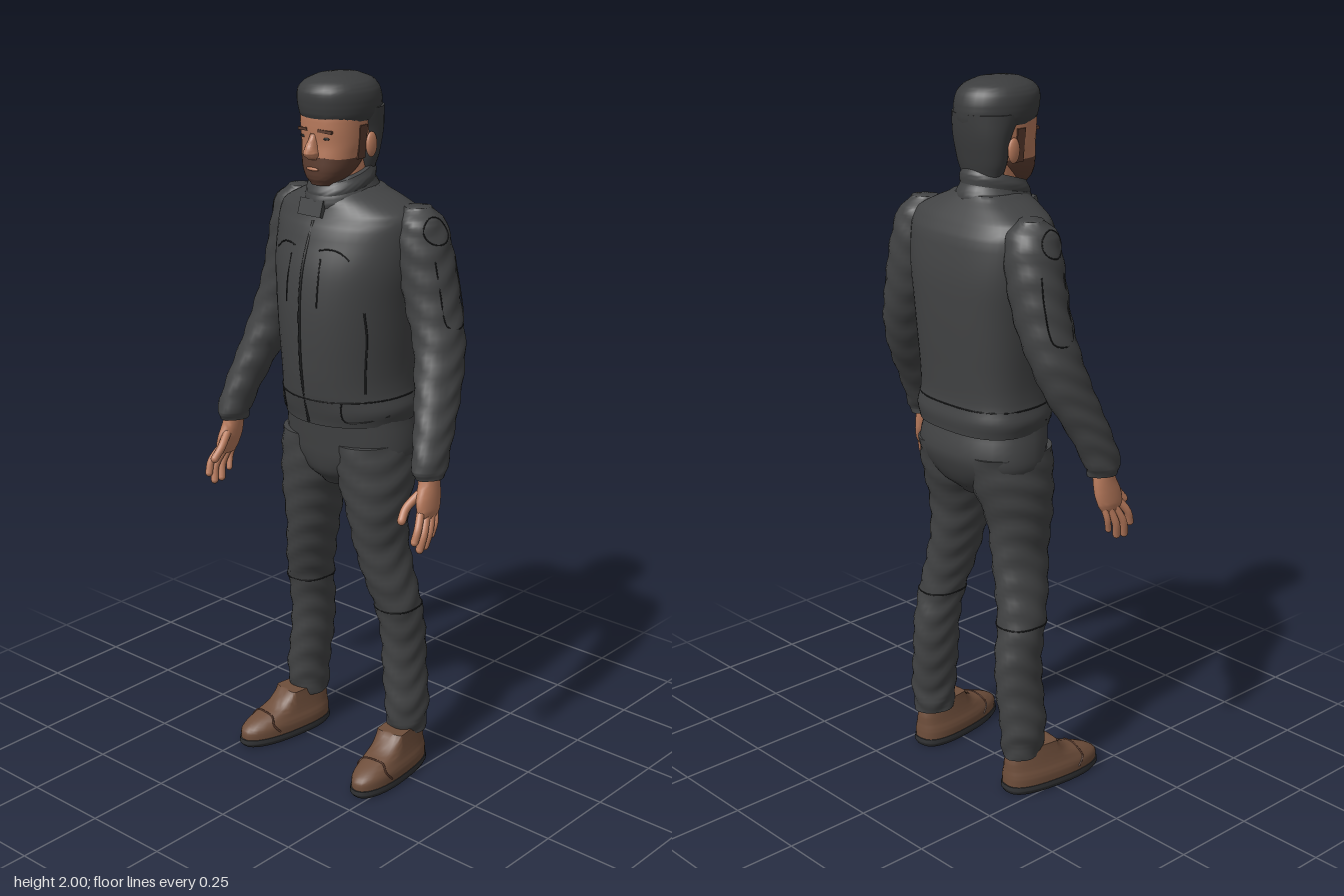
import * as THREE from 'three';
import { toCreasedNormals } from 'three/addons/utils/BufferGeometryUtils.js';

const material = (name, color) => Object.assign(new THREE.MeshStandardMaterial({ color }), { name });

// Cross-sections from bottom to top: [y, centre x, half width, front z, back z]
const TORSO = [
  [1.06, 0, 0.186, 0.135, -0.18], [1.1, 0, 0.196, 0.145, -0.185], [1.14, 0, 0.186, 0.155, -0.178],
  [1.2, 0, 0.183, 0.163, -0.18], [1.3, 0, 0.19, 0.17, -0.187], [1.4, 0, 0.2, 0.17, -0.192],
  [1.5, 0, 0.215, 0.157, -0.192], [1.6, 0, 0.22, 0.125, -0.178], [1.64, 0, 0.21, 0.105, -0.155],
  [1.67, 0, 0.155, 0.095, -0.13], [1.7, 0, 0.09, 0.08, -0.105],
];
const ARM = [
  [0.975, 0.362, 0.038, 0.105, 0.01], [1.0, 0.362, 0.042, 0.115, 0], [1.1, 0.345, 0.05, 0.085, -0.045],
  [1.2, 0.32, 0.058, 0.05, -0.1], [1.3, 0.295, 0.066, 0.02, -0.135], [1.4, 0.262, 0.073, 0.01, -0.15],
  [1.5, 0.238, 0.075, 0.01, -0.155], [1.58, 0.222, 0.072, 0.01, -0.15], [1.63, 0.215, 0.06, 0, -0.135],
  [1.66, 0.21, 0.035, -0.03, -0.1],
];
const LEG = [
  [0.11, 0.19, 0.05, -0.01, -0.13], [0.15, 0.191, 0.054, 0, -0.136], [0.2, 0.192, 0.056, 0.005, -0.14],
  [0.3, 0.18, 0.055, 0.005, -0.145], [0.4, 0.174, 0.056, 0.005, -0.145], [0.5, 0.168, 0.062, 0.02, -0.127],
  [0.6, 0.148, 0.063, 0.05, -0.118], [0.7, 0.128, 0.065, 0.07, -0.115], [0.8, 0.12, 0.08, 0.085, -0.12],
  [0.9, 0.105, 0.1, 0.095, -0.15], [1.0, 0.1, 0.095, 0.1, -0.17],
];
const torsoShape = { zc: -0.04, back: 0.75 };
const sleeveShape = { wrinkle: 0.0022 };

// Smooth interpolation of the cross-sections at ring position t
function ringAt(rings, t) {
  const i = Math.min(Math.floor(t), rings.length - 2), f = t - i;
  const a = rings[Math.max(i - 1, 0)], b = rings[i], c = rings[i + 1], d = rings[Math.min(i + 2, rings.length - 1)];
  return b.map((v, k) => k === 0 ? v + (c[0] - v) * f
    : v + 0.5 * f * (c[k] - a[k] + f * (2 * a[k] - 5 * v + 4 * c[k] - d[k] + f * (3 * (v - c[k]) + d[k] - a[k]))));
}

// Point on a body surface; angle 0 is +x and PI / 2 is the front
function surface(rings, t, angle, { zc, front = 1, back = 1, wrinkle = 0, tilt = 0 } = {}) {
  const [y, cx, rx, zf, zb] = ringAt(rings, t);
  const mid = zc === undefined ? (zf + zb) / 2 : zc;
  const c = Math.cos(angle), s = Math.sin(angle), p = s > 0 ? front : back;
  const w = wrinkle * Math.sin(y * 85 + 2.5 * Math.sin(angle * 2));
  const z = mid + Math.sign(s) * Math.abs(s) ** p * ((s > 0 ? zf - mid : mid - zb) + w);
  return new THREE.Vector3(cx + Math.sign(c) * Math.abs(c) ** p * (rx + w), y - tilt * z, z);
}

// Closed smooth skin through the cross-sections
function loft(rings, shape = {}, sides = 32, sub = 4) {
  const pos = [], idx = [], rows = (rings.length - 1) * sub;
  for (let i = 0; i <= rows; i++)
    for (let j = 0; j < sides; j++) pos.push(...surface(rings, i / sub, j / sides * Math.PI * 2, shape));
  for (const t of [0, rings.length - 1]) {
    const a = surface(rings, t, 0, shape), b = surface(rings, t, Math.PI, shape);
    pos.push(...a.add(b).multiplyScalar(0.5));
  }
  const bottom = (rows + 1) * sides, top = bottom + 1;
  for (let j = 0; j < sides; j++) {
    const k = (j + 1) % sides;
    for (let i = 0; i < rows; i++) {
      const a = i * sides + j, b = i * sides + k;
      idx.push(a, a + sides, b, b, a + sides, b + sides);
    }
    idx.push(bottom, j, k, top, rows * sides + k, rows * sides + j);
  }
  const geo = new THREE.BufferGeometry();
  geo.setAttribute('position', new THREE.Float32BufferAttribute(pos, 3));
  geo.setIndex(idx);
  return toCreasedNormals(geo, 0.9);
}

// Thin raised stitching that follows a surface through [y, angle] points
function seam(rings, points, shape, radius = 0.0022, closed = false) {
  const pts = points.map(([y, angle]) => {
    let i = 0;
    while (i < rings.length - 2 && rings[i + 1][0] < y) i++;
    return surface(rings, i + (y - rings[i][0]) / (rings[i + 1][0] - rings[i][0]), angle, shape);
  });
  return new THREE.TubeGeometry(new THREE.CatmullRomCurve3(pts, closed), 32, radius, 5, closed);
}

export function createModel() {
  const model = new THREE.Group();
  model.name = 'standingMan';
  const cloth = material('charcoalCloth', 0x424344), stitch = material('darkStitching', 0x202122);
  const skin = material('skin', 0xb87a5c), beardMat = material('beard', 0x5c3d30);
  const hairMat = material('hair', 0x3c3d3e), leather = material('brownLeather', 0x6e4e3b);
  const rubber = material('darkSole', 0x303133);
  const add = (parent, name, geo, mat, x = 0, y = 0, z = 0) => {
    const mesh = new THREE.Mesh(geo, mat);
    mesh.name = name;
    mesh.position.set(x, y, z);
    parent.add(mesh);
    return mesh;
  };

  // Jacket body, collar and zip
  add(model, 'jacketBody', loft(TORSO, torsoShape, 48), cloth);
  add(model, 'lowerCollar', loft([[1.65, 0, 0.095, 0.1, -0.115], [1.685, 0, 0.093, 0.108, -0.112],
    [1.71, 0, 0.082, 0.1, -0.1]], { tilt: 0.15 }), cloth);
  add(model, 'upperCollar', loft([[1.695, 0, 0.082, 0.1, -0.1], [1.72, 0, 0.086, 0.103, -0.1],
    [1.742, 0, 0.077, 0.09, -0.09]], { tilt: 0.3 }), cloth);
  const flap = add(model, 'collarFlap', new THREE.BoxGeometry(0.08, 0.045, 0.02), cloth, -0.012, 1.65, 0.103);
  flap.rotation.x = -0.3;
  const H = Math.PI / 2;
  add(model, 'zip', seam(TORSO, [1.065, 1.2, 1.3, 1.4, 1.5, 1.62].map(y => [y, H]), torsoShape, 0.004), stitch);
  add(model, 'waistSeam', seam(TORSO, Array.from({ length: 32 }, (_, i) => [1.135, i / 32 * 2 * Math.PI]),
    torsoShape, 0.002, true), stitch);

  // Trouser seat
  add(model, 'trouserSeat', loft([[0.86, 0, 0.06, 0.05, -0.1], [0.9, 0, 0.13, 0.085, -0.145],
    [0.95, 0, 0.192, 0.1, -0.172], [1.0, 0, 0.199, 0.108, -0.184], [1.09, 0, 0.183, 0.12, -0.165]], { back: 0.85 }), cloth);

  // Head
  const head = new THREE.Group();
  head.name = 'head';
  model.add(head);
  const faceShape = { front: 0.85 };
  add(head, 'neck', loft([[1.6, 0, 0.065, 0.06, -0.08], [1.68, 0, 0.062, 0.062, -0.078], [1.78, 0, 0.062, 0.06, -0.08]]), skin);
  add(head, 'beardedJaw', loft([[1.712, 0, 0.034, 0.103, 0.03], [1.73, 0, 0.053, 0.113, -0.005],
    [1.755, 0, 0.069, 0.117, -0.035], [1.788, 0, 0.078, 0.116, -0.055]], faceShape), beardMat);
  add(head, 'face', loft([[1.785, 0, 0.078, 0.116, -0.055], [1.82, 0, 0.084, 0.113, -0.07],
    [1.86, 0, 0.087, 0.116, -0.08], [1.9, 0, 0.088, 0.115, -0.09], [1.94, 0, 0.08, 0.1, -0.09]], faceShape), skin);
  add(head, 'nose', loft([[1.783, 0, 0.014, 0.128, 0.09], [1.795, 0, 0.02, 0.144, 0.09],
    [1.81, 0, 0.016, 0.143, 0.09], [1.85, 0, 0.009, 0.12, 0.09]], {}, 14), skin);
  add(head, 'lips', new THREE.SphereGeometry(1, 16, 8), skin, 0, 1.757, 0.115).scale.set(0.022, 0.005, 0.007);
  add(head, 'hairTop', loft([[1.88, 0, 0.09, 0.112, -0.113], [1.895, 0, 0.097, 0.12, -0.116],
    [1.93, 0, 0.101, 0.127, -0.116], [1.96, 0, 0.096, 0.126, -0.107], [1.98, 0, 0.08, 0.108, -0.087],
    [1.994, 0, 0.05, 0.075, -0.05], [2.0, 0, 0.012, 0.03, -0.005]], { front: 0.9 }), hairMat);
  add(head, 'hairBack', loft([[1.73, 0, 0.064, -0.005, -0.085], [1.78, 0, 0.081, 0.005, -0.096],
    [1.85, 0, 0.092, 0.02, -0.11], [1.91, 0, 0.098, 0.06, -0.116]], {}), hairMat);
  for (const s of [-1, 1]) {
    add(head, 'ear', new THREE.SphereGeometry(1, 14, 10), skin, s * 0.09, 1.815, -0.015).scale.set(0.01, 0.034, 0.02);
    add(head, 'eye', new THREE.SphereGeometry(1, 12, 8), stitch, s * 0.036, 1.839, 0.106).scale.set(0.015, 0.004, 0.004);
    const brow = add(head, 'eyebrow', new THREE.BoxGeometry(0.04, 0.008, 0.009), beardMat, s * 0.038, 1.858, 0.108);
    brow.rotation.set(0, s * 0.25, -s * 0.08);
    const sideburn = add(head, 'sideburn', new THREE.BoxGeometry(0.006, 0.09, 0.028), beardMat, s * 0.083, 1.825, 0.014);
    sideburn.rotation.z = -s * 0.1;
  }

  // Limbs, shoes and paired details, built on the left and mirrored
  for (const s of [1, -1]) {
    const side = new THREE.Group();
    side.name = s > 0 ? 'leftSide' : 'rightSide';
    side.scale.x = s;
    model.add(side);

    add(side, 'sleeve', loft(ARM, sleeveShape, 28, 6), cloth);
    add(side, 'trouserLeg', loft(LEG, { wrinkle: 0.0028 }, 28, 6), cloth);
    add(side, 'kneeSeam', seam(LEG, Array.from({ length: 16 }, (_, i) => [0.505, i / 16 * 2 * Math.PI]),
      { wrinkle: 0.0028 }, 0.002, true), stitch);
    add(side, 'shoulderPatch', seam(ARM, Array.from({ length: 16 }, (_, i) => {
      const a = i / 16 * 2 * Math.PI;
      return [1.605 + 0.035 * Math.sin(a), 0.2 + 0.55 * Math.cos(a)];
    }), sleeveShape, 0.0018, true), stitch);
    add(side, 'sleevePanel', seam(ARM, [[1.53, 0.5], [1.45, 0.5], [1.36, 0.4], [1.35, -0.1], [1.36, -0.5],
      [1.45, -0.55], [1.53, -0.5]], sleeveShape, 0.0018), stitch);
    add(side, 'pocketSlit', seam(TORSO, [[1.16, 0.62], [1.24, 0.6], [1.32, 0.6], [1.39, 0.66]], torsoShape, 0.003), stitch);
    add(side, 'chestSeam', seam(TORSO, [[1.53, 0.95], [1.55, 1.1], [1.555, 1.25], [1.55, 1.38]], torsoShape), stitch);
    add(side, 'chestPocket', seam(TORSO, [[1.4, 1.3], [1.46, 1.31], [1.53, 1.33]], torsoShape), stitch);
    add(side, 'waistTab', seam(TORSO, [[1.132, 0.98], [1.11, 1.02], [1.08, 0.98], [1.078, 0.7], [1.09, 0.3]], torsoShape), stitch);

    // Hand with four fingers and a thumb
    const hand = new THREE.Group();
    hand.name = 'hand';
    side.add(hand);
    add(hand, 'palm', loft([[0.868, 0.377, 0.012, 0.11, 0.045], [0.885, 0.376, 0.017, 0.12, 0.034],
      [0.92, 0.37, 0.022, 0.118, 0.026], [0.96, 0.365, 0.024, 0.1, 0.026], [1.0, 0.362, 0.026, 0.09, 0.03]], {}, 20), skin);
    for (const [name, r, ...points] of [
      ['indexFinger', 0.011, [0.374, 0.89, 0.108], [0.387, 0.85, 0.135], [0.385, 0.818, 0.146]],
      ['middleFinger', 0.011, [0.378, 0.88, 0.088], [0.39, 0.83, 0.114], [0.385, 0.79, 0.124]],
      ['ringFinger', 0.011, [0.378, 0.88, 0.068], [0.388, 0.83, 0.088], [0.382, 0.792, 0.098]],
      ['littleFinger', 0.009, [0.376, 0.885, 0.05], [0.384, 0.85, 0.058], [0.38, 0.815, 0.068]],
      ['thumb', 0.012, [0.358, 0.935, 0.095], [0.345, 0.9, 0.135], [0.349, 0.873, 0.157]],
    ]) {
      const curve = new THREE.CatmullRomCurve3(points.map(p => new THREE.Vector3(...p)));
      add(hand, name, new THREE.TubeGeometry(curve, 10, r, 10), skin);
      add(hand, name + 'Tip', new THREE.SphereGeometry(r, 10, 8), skin, ...points[2]);
    }

    // Shoe, turned slightly outward
    const shoe = new THREE.Group();
    shoe.name = 'shoe';
    shoe.position.x = 0.2;
    shoe.rotation.y = 0.12;
    side.add(shoe);
    const shoeShape = { front: 0.9, back: 0.75, zc: 0.02 };
    const upper = [[0.02, 0, 0.06, 0.19, -0.128], [0.05, 0, 0.06, 0.187, -0.128], [0.072, 0, 0.053, 0.15, -0.126],
      [0.095, 0, 0.048, 0.08, -0.125], [0.135, 0, 0.042, 0.03, -0.115]];
    add(shoe, 'shoeUpper', loft(upper, shoeShape), leather);
    add(shoe, 'sole', loft([[0, 0, 0.058, 0.186, -0.126], [0.01, 0, 0.063, 0.195, -0.132],
      [0.024, 0, 0.062, 0.194, -0.131]], shoeShape), rubber);
    add(shoe, 'shoeStrap', seam(upper, [[0.035, 0.4], [0.06, 0.6], [0.08, 0.9], [0.086, H], [0.08, Math.PI - 0.9],
      [0.06, Math.PI - 0.6], [0.035, Math.PI - 0.4]], shoeShape, 0.003), beardMat);
  }
  return model;
}
